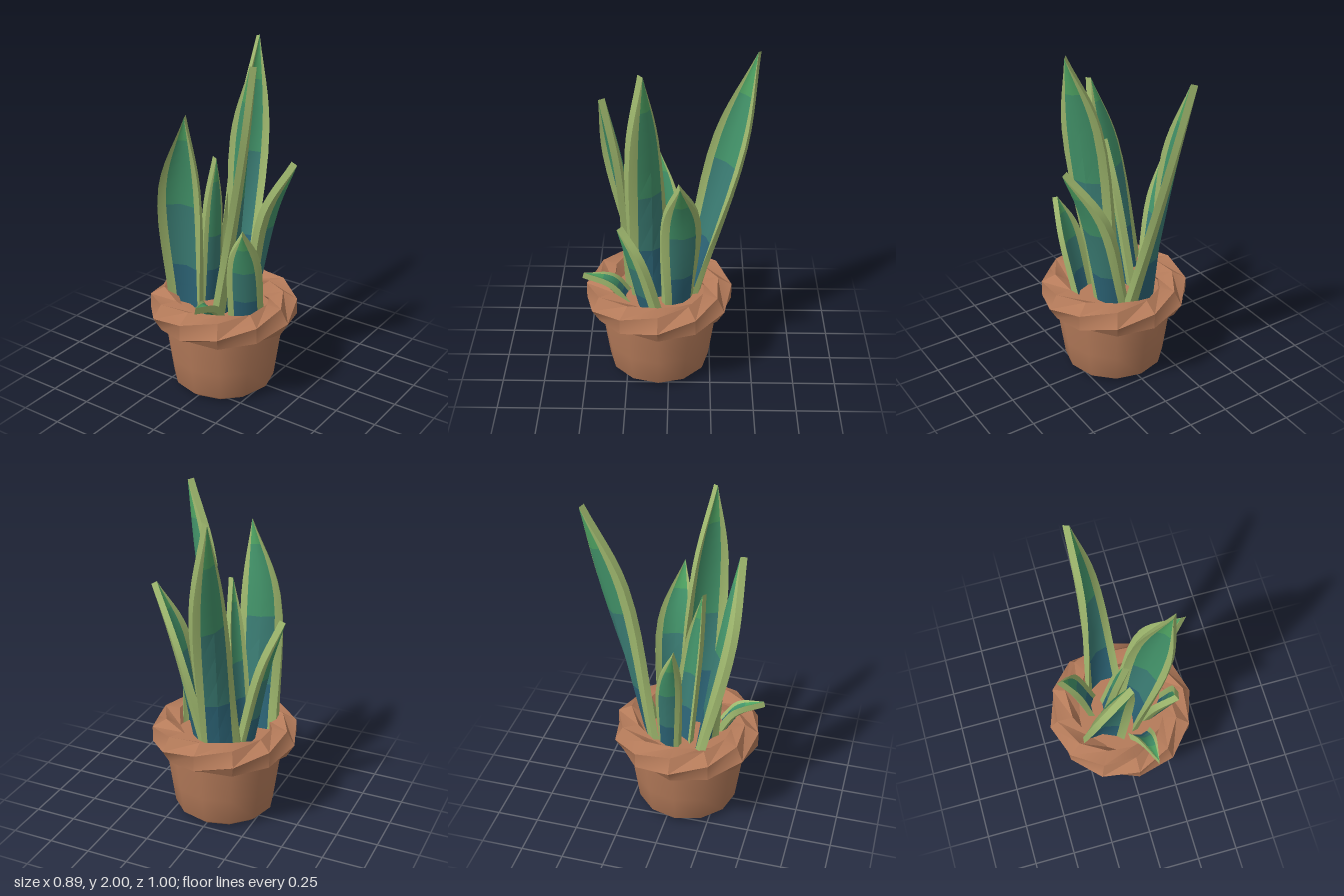
import * as THREE from 'three';
import { toCreasedNormals } from 'three/addons/utils/BufferGeometryUtils.js';

const material = (name, color) => {
  const m = new THREE.MeshStandardMaterial({ color });
  m.name = name;
  return m;
};

const POT_Z = 0.06;
const LEAF_BASE_Y = 0.5;

const pushQuad = (out, a, b, c, d) => {
  for (const p of [a, b, c, a, c, d]) out.push(p.x, p.y, p.z);
};

// Hollow blade between two edge curves that meet at the tip.
// Left and right are seen from the hollow side; bases are [x, z].
function createLeaf(materials, name, tip, [leftBase, leftMid], [rightBase, rightMid]) {
  const ROWS = 12, HALF_THICK = 0.019, CUP = 0.2;
  const COLS = [0, 0.17, 0.5, 0.83, 1];
  const edge = ([x, z], mid) => new THREE.CatmullRomCurve3([
    new THREE.Vector3(x, LEAF_BASE_Y, z), new THREE.Vector3(...mid), new THREE.Vector3(...tip)]);
  const left = edge(leftBase, leftMid), right = edge(rightBase, rightMid);
  const middle = (t) => left.getPoint(t).lerp(right.getPoint(t), 0.5);

  // Cross-sections from base to tip
  const front = [], back = [];
  for (let i = 0; i <= ROWS; i++) {
    const t = i / ROWS, s = THREE.MathUtils.clamp(t, 0.03, 0.96);
    const across = right.getPoint(s).sub(left.getPoint(s));
    const along = middle(s + 0.03).sub(middle(s - 0.03));
    const normal = across.cross(along).normalize();
    const a = left.getPoint(t), b = right.getPoint(t), width = a.distanceTo(b);
    const place = (u, offset) => a.clone().lerp(b, u)
      .addScaledVector(normal, offset - CUP * width * (1 - (2 * u - 1) ** 2));
    front.push(COLS.map((u) => place(u, HALF_THICK)));
    back.push(COLS.map((u) => place(u, -HALF_THICK)));
  }

  // Pale borders, centre coloured in bands by height
  const buckets = materials.map(() => []);
  for (let i = 0; i < ROWS; i++) {
    const height = (middle((i + 0.5) / ROWS).y - LEAF_BASE_Y) / (tip[1] - LEAF_BASE_Y);
    const band = height < 0.25 ? 1 : height < 0.53 ? 2 : height < 0.86 ? 3 : 4;
    const f0 = front[i], f1 = front[i + 1], b0 = back[i], b1 = back[i + 1];
    for (let j = 0; j < 4; j++) {
      const out = buckets[j === 0 || j === 3 ? 0 : band];
      pushQuad(out, f0[j], f0[j + 1], f1[j + 1], f1[j]);
      pushQuad(out, b0[j + 1], b0[j], b1[j], b1[j + 1]);
    }
    pushQuad(buckets[0], f0[0], f1[0], b1[0], b0[0]);
    pushQuad(buckets[0], b0[4], b1[4], f1[4], f0[4]);
  }

  const geometry = new THREE.BufferGeometry();
  geometry.setAttribute('position', new THREE.Float32BufferAttribute(buckets.flat(), 3));
  let start = 0;
  buckets.forEach((bucket, k) => {
    geometry.addGroup(start, bucket.length / 3, k);
    start += bucket.length / 3;
  });
  const mesh = new THREE.Mesh(toCreasedNormals(geometry, 0.6), materials);
  mesh.name = name;
  return mesh;
}

// Faceted six-sided ring that twists like a rope on its way round
function createRim(mat) {
  const SEGMENTS = 12, SIDES = 6, RADIUS = 0.35, THICK = 0.096;
  const point = (i, j) => {
    const a = (i / SEGMENTS) * Math.PI * 2;
    const phi = (j / SIDES) * Math.PI * 2 - a;
    const r = RADIUS + THICK * Math.cos(phi);
    return new THREE.Vector3(r * Math.cos(a), 0.5 + THICK * Math.sin(phi), r * Math.sin(a));
  };
  const out = [];
  for (let i = 0; i < SEGMENTS; i++) {
    for (let j = 0; j < SIDES; j++) {
      pushQuad(out, point(i, j + 1), point(i + 1, j + 1), point(i + 1, j), point(i, j));
    }
  }
  const geometry = new THREE.BufferGeometry();
  geometry.setAttribute('position', new THREE.Float32BufferAttribute(out, 3));
  const rim = new THREE.Mesh(toCreasedNormals(geometry, 0.6), mat);
  rim.name = 'potRim';
  return rim;
}

// Smooth tapered body, twisted rim and filled top
function createPot(mat) {
  const pot = new THREE.Group();
  pot.name = 'pot';
  pot.position.z = POT_Z;
  const profile = [[0, 0], [0.26, 0], [0.302, 0.035], [0.325, 0.2], [0.355, 0.42], [0.355, 0.5]];
  const body = new THREE.Mesh(
    new THREE.LatheGeometry(profile.map((p) => new THREE.Vector2(...p)), 12), mat);
  body.name = 'potBody';
  const filling = new THREE.Mesh(new THREE.CircleGeometry(0.34, 12), mat);
  filling.name = 'potFilling';
  filling.rotation.x = -Math.PI / 2;
  filling.position.y = 0.51;
  pot.add(body, createRim(mat), filling);
  return pot;
}

function createFoliage() {
  const materials = [
    material('paleLeafEdge', 0x9fb86e),
    material('deepBlueGreen', 0x2d6577),
    material('teal', 0x3b7d74),
    material('green', 0x43946a),
    material('brightGreen', 0x4fa463),
  ];
  const foliage = new THREE.Group();
  foliage.name = 'foliage';
  const leaf = (...shape) => foliage.add(createLeaf(materials, ...shape));

  leaf('tallBackLeaf', [-0.135, 1.98, -0.49],
    [[-0.17, -0.09], [-0.125, 1.5, -0.26]], [[0.05, -0.15], [-0.02, 1.45, -0.43]]);
  leaf('tallCentreLeaf', [0.25, 2, 0.145],
    [[0.015, -0.02], [0.075, 1.56, 0.07]], [[0.045, 0.22], [0.235, 1.56, 0.22]]);
  leaf('broadFrontLeaf', [-0.03, 1.74, 0.37],
    [[-0.28, 0.2], [-0.215, 1.3, 0.37]], [[-0.03, 0.24], [0, 1.3, 0.29]]);
  leaf('leftSideLeaf', [0.39, 1.43, -0.06],
    [[0.03, -0.13], [0.195, 1.12, -0.175]], [[0.15, 0.03], [0.24, 1.12, 0.035]]);
  leaf('rightSideLeaf', [-0.35, 1.27, 0.065],
    [[-0.18, 0.06], [-0.265, 1.03, 0.085]], [[-0.14, -0.07], [-0.255, 1, -0.05]]);
  leaf('shortLeftLeaf', [0.27, 1.1, 0.27],
    [[0.27, 0.04], [0.305, 0.9, 0.15]], [[0.1, 0.16], [0.155, 0.9, 0.235]]);
  leaf('innerLeaf', [0.005, 1.45, 0.15],
    [[-0.09, -0.02], [-0.02, 1.15, 0.06]], [[-0.14, 0.12], [-0.06, 1.15, 0.155]]);
  leaf('sproutLeaf', [0.115, 0.68, 0.5],
    [[0.14, 0.24], [0.145, 0.63, 0.34]], [[0, 0.24], [0.04, 0.63, 0.33]]);
  return foliage;
}

export function createModel() {
  const model = new THREE.Group();
  model.name = 'pottedPlant';
  model.add(createPot(material('terracotta', 0xb57b5a)), createFoliage());
  return model;
}
